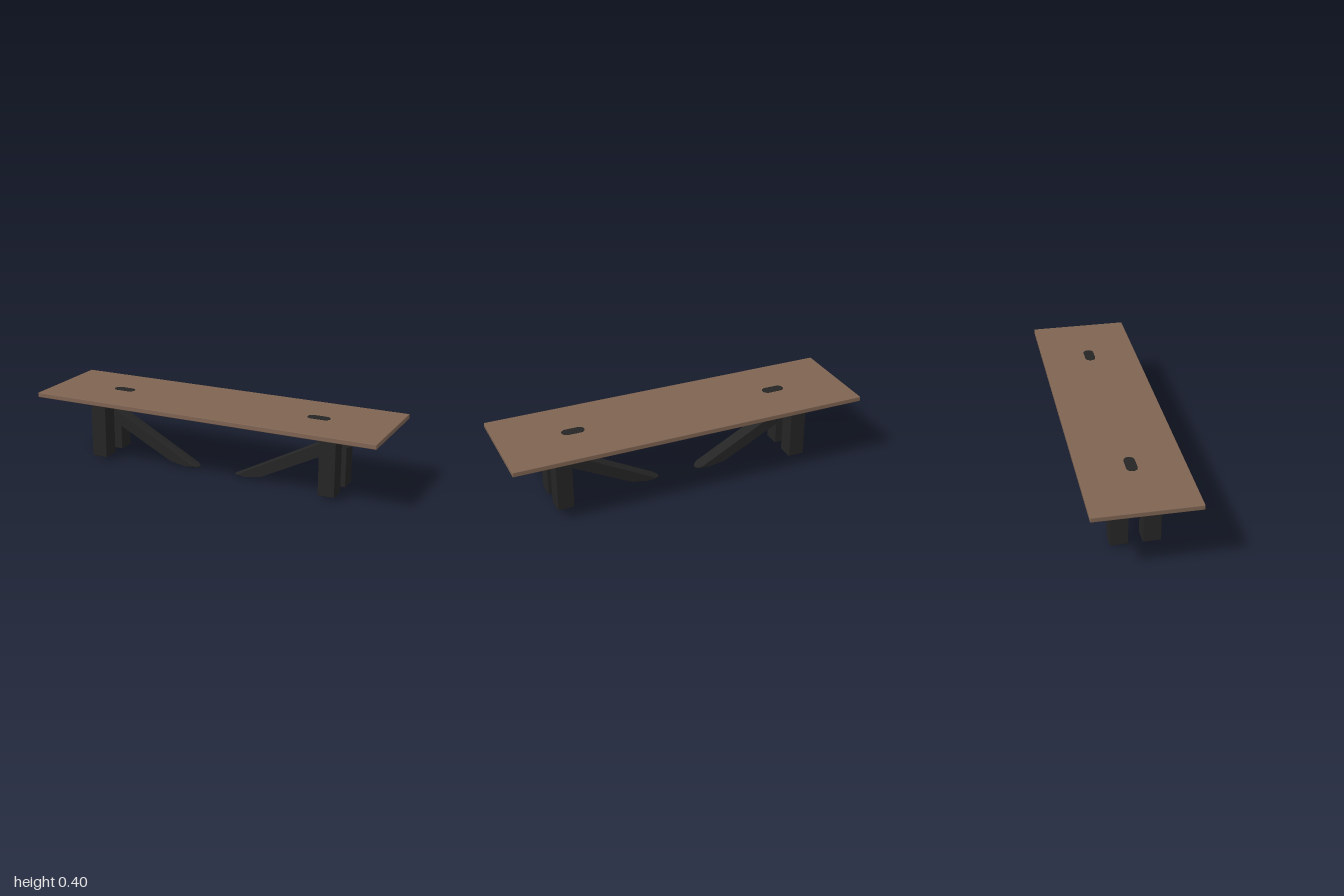
import * as THREE from 'three';
import { RoundedBoxGeometry } from 'three/addons/geometries/RoundedBoxGeometry.js';

const wood = new THREE.MeshStandardMaterial({ color: 0x7f6452 });
wood.name = 'brown wood';
const black = new THREE.MeshStandardMaterial({ color: 0x252525 });
black.name = 'black timber';

function add(parent, name, geometry, material, x = 0, y = 0, z = 0) {
  const mesh = new THREE.Mesh(geometry, material);
  mesh.name = name;
  mesh.position.set(x, y, z);
  parent.add(mesh);
  return mesh;
}

// Side profile in x and y, extruded symmetrically about z = 0
function slab(points, halfWidth, steps = 1) {
  const shape = new THREE.Shape(points.map(([x, y]) => new THREE.Vector2(x, y)));
  const geometry = new THREE.ExtrudeGeometry(shape, { depth: halfWidth * 2, steps, bevelEnabled: false });
  return geometry.translate(0, 0, -halfWidth);
}

// Slanted brace whose foot is rounded across its width
function braceGeometry() {
  const half = 0.038;
  const geometry = slab([
    [0.78, 0.36], [0.13, 0.02], [0.112, 0.011], [0.112, 0.005], [0.15, 0.001],
    [0.2, 0.003], [0.25, 0.012], [0.28, 0.027], [0.82, 0.302], [0.82, 0.36],
  ], half, 8);
  const p = geometry.attributes.position;
  for (let i = 0; i < p.count; i++) {
    const t = (p.getZ(i) / half) ** 2;
    if (p.getY(i) < 0.024) p.setY(i, p.getY(i) + 0.01 * t);
    if (p.getX(i) < 0.16) p.setX(i, p.getX(i) + 0.03 * t);
  }
  geometry.computeVertexNormals();
  return geometry;
}

// Capsule outline of the tenon, lying flat
function tenonGeometry() {
  const r = 0.029, a = 0.034;
  const shape = new THREE.Shape();
  shape.absarc(a, 0, r, -Math.PI / 2, Math.PI / 2);
  shape.absarc(-a, 0, r, Math.PI / 2, Math.PI * 1.5);
  const geometry = new THREE.ExtrudeGeometry(shape, { depth: 0.033, bevelEnabled: false, curveSegments: 8 });
  return geometry.rotateX(-Math.PI / 2);
}

export function createModel() {
  const model = new THREE.Group();
  model.name = 'trestleTable';

  add(model, 'tableTop', new RoundedBoxGeometry(2, 0.027, 0.552, 2, 0.004), wood, 0, 0.3875, 0);
  add(model, 'underBeam', new THREE.BoxGeometry(1.64, 0.054, 0.084), black, 0, 0.348, 0);

  // One trestle at each end, the second turned half round
  for (const [name, turn] of [['leftTrestle', 0], ['rightTrestle', Math.PI]]) {
    const trestle = new THREE.Group();
    trestle.name = name;
    trestle.rotation.y = turn;
    model.add(trestle);

    for (const side of [-1, 1]) {
      add(trestle, side > 0 ? 'outerPost' : 'innerPost',
        new RoundedBoxGeometry(0.092, 0.356, 0.096, 2, 0.003), black, 0.694, 0.198, side * 0.085);
    }
    // Beam end with its sloping underside
    add(trestle, 'beamEnd', slab([
      [0.65, 0.375], [0.65, 0.31], [0.735, 0.256], [0.852, 0.317], [0.852, 0.375],
    ], 0.042), black);
    add(trestle, 'brace', braceGeometry(), black);
    add(trestle, 'tenon', tenonGeometry(), black, 0.593, 0.37, 0);
  }
  return model;
}
